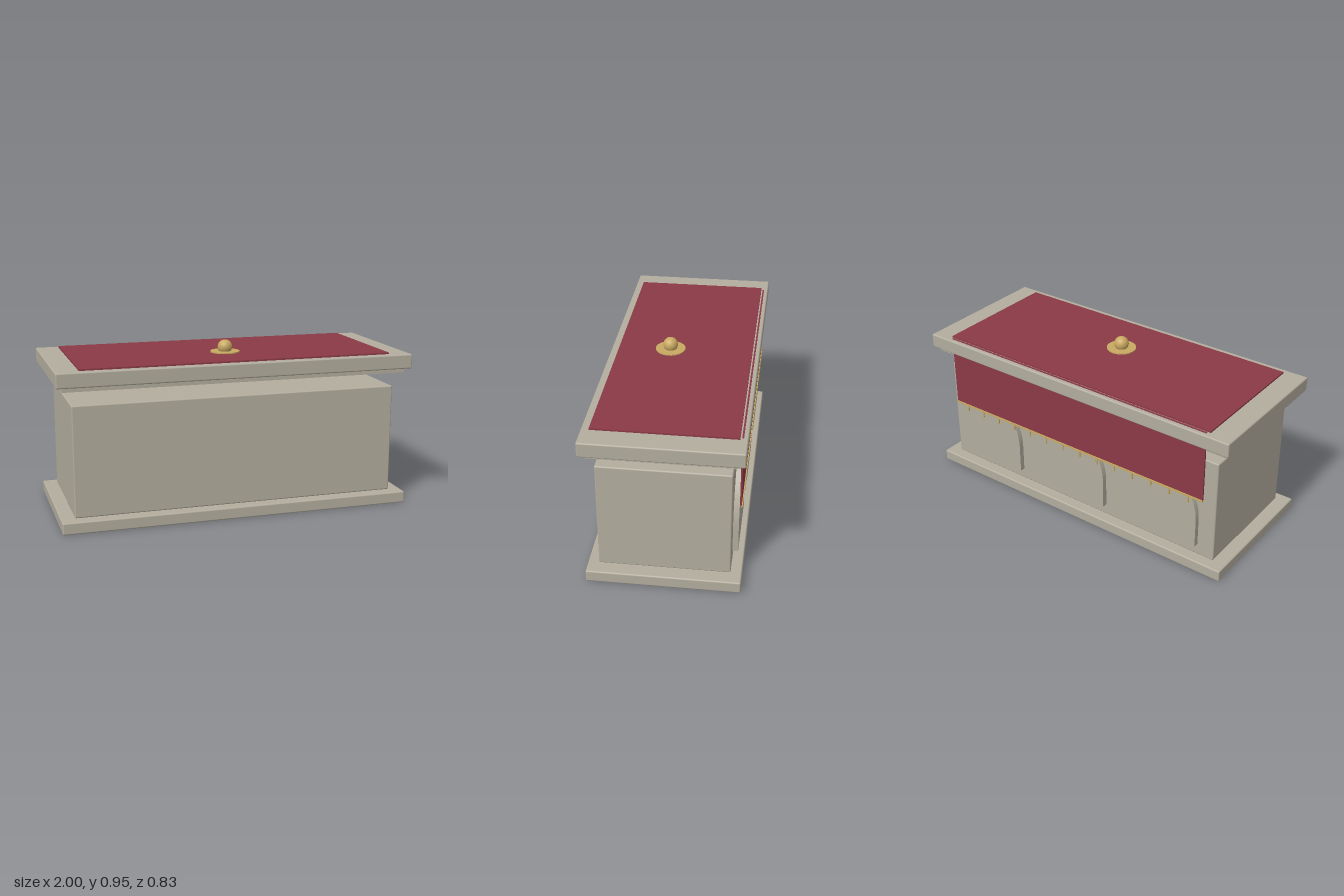
import * as THREE from 'three';
import { RoundedBoxGeometry } from 'three/addons/geometries/RoundedBoxGeometry.js';

export function createModel() {
  const root = new THREE.Group();
  root.name = 'altar';

  const mat = (name, color) => {
    const m = new THREE.MeshStandardMaterial({ color });
    m.name = name;
    return m;
  };
  const stone = mat('stone', 0xb3ad9e);
  const cloth = mat('crimson cloth', 0x8b3a46);
  const gold = mat('gold', 0xc9a962);

  const add = (name, geometry, material, x, y, z, parent = root) => {
    const mesh = new THREE.Mesh(geometry, material);
    mesh.name = name;
    mesh.position.set(x, y, z);
    parent.add(mesh);
    return mesh;
  };
  // Boxes given by width, bottom, top, back and front
  const box = (name, w, y0, y1, z0, z1, material, bevel = 0, x = 0, parent = root) => {
    const size = [w, y1 - y0, z1 - z0];
    const geometry = bevel
      ? new RoundedBoxGeometry(...size, 2, bevel)
      : new THREE.BoxGeometry(...size);
    return add(name, geometry, material, x, (y0 + y1) / 2, (z0 + z1) / 2, parent);
  };

  // Stone block, plinth and table slab
  box('plinth', 1.98, 0, 0.066, -0.408, 0.408, stone, 0.008);
  box('body', 1.83, 0.068, 0.684, -0.349, 0.349, stone, 0.008);
  box('slabMoulding', 1.934, 0.765, 0.795, -0.385, 0.385, stone);
  box('tableSlab', 2, 0.79, 0.872, -0.415, 0.415, stone, 0.008);

  // Pointed arch panels on the back
  const half = 0.21, bottom = 0.135, spring = 0.3, apex = 0.618;
  const rise = apex - spring;
  const radius = (half * half + rise * rise) / (2 * half);
  const sweep = Math.asin(rise / radius);
  const arch = new THREE.Shape();
  arch.moveTo(-half, bottom);
  arch.lineTo(half, bottom);
  arch.lineTo(half, spring);
  arch.absarc(half - radius, spring, radius, 0, sweep, false);
  arch.absarc(radius - half, spring, radius, Math.PI - sweep, Math.PI, false);
  arch.closePath();
  const archGeometry = new THREE.ExtrudeGeometry(arch, {
    depth: 0.04, bevelEnabled: false, curveSegments: 10,
  });
  for (const x of [-0.605, 0, 0.605]) add('archPanel', archGeometry, stone, x, 0, -0.379);

  // Cloth over the slab and hanging down the back
  box('topCloth', 1.746, 0.87, 0.881, -0.375, 0.373, cloth);
  box('hangingCloth', 1.714, 0.46, 0.876, -0.392, -0.383, cloth);

  // Gold trim with a row of tassels
  const fringe = new THREE.Group();
  fringe.name = 'fringe';
  root.add(fringe);
  box('trim', 1.714, 0.455, 0.465, -0.397, -0.387, gold, 0, 0, fringe);
  const tassel = new THREE.CylinderGeometry(0.005, 0.005, 0.042, 8);
  for (let i = 0; i < 14; i++) {
    add('tassel', tassel, gold, (i - 6.5) * 0.1187, 0.441, -0.393, fringe);
  }

  // Gold dish and ball
  add('dish', new THREE.CylinderGeometry(0.083, 0.083, 0.008, 32), gold, 0, 0.883, 0.083);
  add('ball', new THREE.SphereGeometry(0.041, 32, 20), gold, 0, 0.91, 0.083);

  return root;
}
